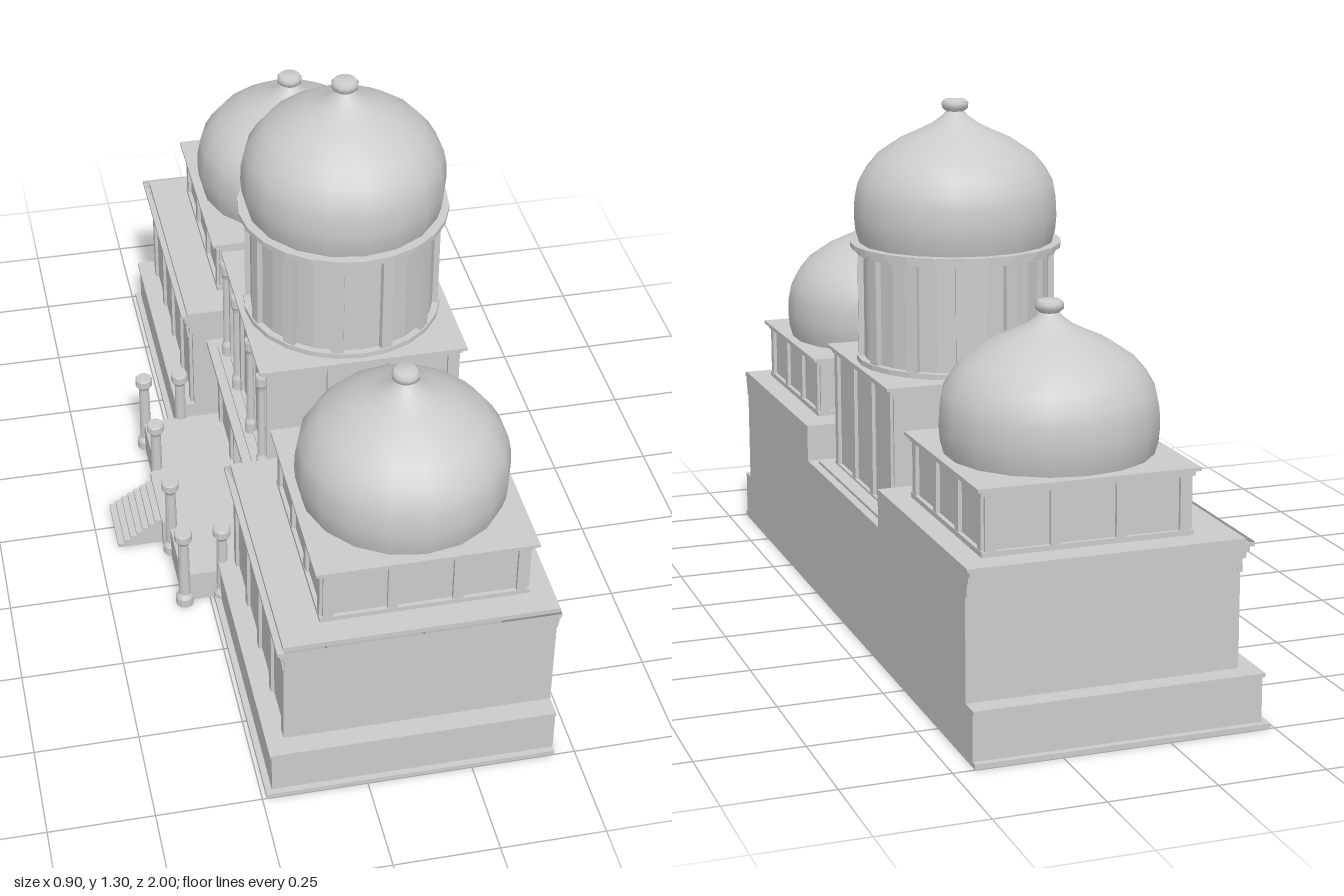
import * as THREE from 'three';

const mat = new THREE.MeshStandardMaterial({ color: 0xcccccc, side: THREE.DoubleSide });
const flat = new THREE.MeshStandardMaterial({ color: 0xcccccc, side: THREE.DoubleSide, flatShading: true });
const CX = 0.15; // axis of the three domes in x
const BACK = 0.45, FRONT = -0.18, END = 0.94, MID = 0.31, RECESS = -0.11;

function add(parent, name, geo, x = 0, y = 0, z = 0, m = flat) {
  const mesh = new THREE.Mesh(geo, m);
  mesh.name = name;
  mesh.position.set(x, y, z);
  parent.add(mesh);
  return mesh;
}

// Box given by its limits
function box(parent, name, x0, x1, y0, y1, z0, z1) {
  return add(parent, name, new THREE.BoxGeometry(x1 - x0, y1 - y0, z1 - z0),
    (x0 + x1) / 2, (y0 + y1) / 2, (z0 + z1) / 2);
}

function group(parent, name) {
  const g = new THREE.Group();
  g.name = name;
  parent.add(g);
  return g;
}

const lathe = (pts, n) => new THREE.LatheGeometry(pts.map(p => new THREE.Vector2(...p)), n);

// Plinth, wall and cornice: outset from the wall, height
const PROFILE = [[0.06, 0], [0.06, 0.012], [0.045, 0.012], [0.045, 0.118], [0.05, 0.118], [0.05, 0.127],
  [0, 0.127], [0, 0.365], [0.008, 0.365], [0.008, 0.385], [0.014, 0.385], [0.014, 0.4],
  [0.02, 0.4], [0.02, 0.415], [0.028, 0.415], [0.028, 0.425]];

// Profile swept around the end and the facade of a wing
function wingShell() {
  const pos = [];
  const ring = ([d, y]) => [[BACK, y, END + d], [FRONT - d, y, END + d], [FRONT - d, y, MID]];
  for (let i = 0; i < PROFILE.length - 1; i++) {
    const a = ring(PROFILE[i]), b = ring(PROFILE[i + 1]);
    for (let j = 0; j < 2; j++)
      pos.push(...a[j + 1], ...a[j], ...b[j], ...a[j + 1], ...b[j], ...b[j + 1]);
  }
  const g = new THREE.BufferGeometry();
  g.setAttribute('position', new THREE.Float32BufferAttribute(pos, 3));
  g.computeVertexNormals();
  return g;
}

// Flat wall with the outline of the profile along one edge
function profileWall(edge, far) {
  const s = new THREE.Shape();
  s.moveTo(far, 0);
  const dir = Math.sign(edge - far);
  PROFILE.forEach(([d, y]) => s.lineTo(edge + dir * d, y));
  s.lineTo(far, 0.425);
  return new THREE.ShapeGeometry(s);
}

function dome(parent, y, z) {
  const g = group(parent, 'dome');
  add(g, 'domeShell', lathe([[0.236, 0], [0.246, 0.035], [0.249, 0.07], [0.247, 0.11], [0.24, 0.145], [0.22, 0.18],
    [0.192, 0.213], [0.135, 0.252], [0.09, 0.272], [0.055, 0.289], [0.03, 0.308], [0.022, 0.318]], 18), CX, y, z, mat);
  add(g, 'finial', lathe([[0.022, 0.31], [0.022, 0.318], [0.032, 0.326], [0.033, 0.338], [0.026, 0.346], [0, 0.348]], 12),
    CX, y, z, mat);
}

// Square storey with pilasters on its four sides and a stepped cornice
function storey(parent, name, y0, y1, z) {
  const g = group(parent, name);
  const h = y1 - y0, r = 0.236;
  const slab = (n, s, a, b) => box(g, n, CX - s, CX + s, a, b, z - s, z + s);
  slab('storeyWalls', r, y0, y1 - 0.01);
  slab('storeyBase', r + 0.01, y0, y0 + 0.012);
  slab('lowerCornice', r + 0.012, y1 - 0.02, y1 - 0.008);
  slab('upperCornice', r + 0.022, y1 - 0.008, y1);
  for (let k = 0; k < 4; k++) {
    const side = group(g, 'pilasters');
    side.position.set(CX, 0, z);
    side.rotation.y = k * Math.PI / 2;
    for (const t of [-0.226, -0.076, 0.076, 0.226])
      add(side, 'pilaster', new THREE.BoxGeometry(0.024, h - 0.02, 0.012), t, y0 + h / 2 - 0.005, r + 0.003);
  }
}

function column(parent, x, y, z, h, r) {
  add(parent, 'column', lathe([[0, 0], [r * 1.5, 0], [r * 1.5, h * 0.1], [r * 1.2, h * 0.13], [r, h * 0.15],
    [r * 0.9, h * 0.84], [r * 1.1, h * 0.87], [r * 1.5, h * 0.9], [r * 1.5, h * 0.98], [r * 1.3, h], [0, h]], 12), x, y, z);
}

function wing(parent, sign) {
  const g = group(parent, sign > 0 ? 'leftWing' : 'rightWing');
  g.scale.z = sign;
  add(g, 'wingWalls', wingShell());
  add(g, 'innerWall', profileWall(FRONT, BACK), 0, 0, MID);
  const back = add(g, 'backWall', profileWall(-END, -MID), BACK, 0, 0);
  back.rotation.y = Math.PI / 2;
  box(g, 'roof', FRONT - 0.012, BACK, 0.418, 0.43, MID, END + 0.015);
  // Facade pilasters
  for (let i = 0; i < 5; i++) {
    const z = 0.335 + i * 0.1475;
    box(g, 'facadePilaster', FRONT - 0.008, FRONT, 0.127, 0.365, z - 0.013, z + 0.013);
    box(g, 'pilasterCap', FRONT - 0.012, FRONT, 0.35, 0.365, z - 0.017, z + 0.017);
  }
  storey(g, 'sideStorey', 0.43, 0.585, 0.645);
  dome(g, 0.58, 0.645);
  box(g, 'connector', 0.075, 0.23, 0.34, 0.57, 0.23, 0.42);
}

function archShape(w, y0, spring, top) {
  const s = new THREE.Path();
  s.moveTo(-w, y0);
  s.lineTo(w, y0);
  s.lineTo(w, spring);
  s.quadraticCurveTo(w, top - 0.02, 0, top);
  s.quadraticCurveTo(-w, top - 0.02, -w, spring);
  s.lineTo(-w, y0);
  return s;
}

function centre(parent) {
  const g = group(parent, 'centralBlock');
  // Recessed facade with an arched doorway
  const wall = new THREE.Shape([[-MID, 0], [MID, 0], [MID, 0.33], [-MID, 0.33]].map(p => new THREE.Vector2(...p)));
  wall.holes.push(archShape(0.055, 0.085, 0.18, 0.255));
  const w = add(g, 'facadeWall', new THREE.ExtrudeGeometry(wall, { depth: 0.015, bevelEnabled: false }), RECESS + 0.015);
  w.rotation.y = -Math.PI / 2;
  box(g, 'door', RECESS + 0.012, RECESS + 0.016, 0.085, 0.26, -0.06, 0.06);
  const frame = new THREE.Shape(archShape(0.067, 0.085, 0.18, 0.272).getPoints(8));
  frame.holes.push(archShape(0.055, 0.085, 0.18, 0.255));
  const f = add(g, 'doorFrame', new THREE.ExtrudeGeometry(frame, { depth: 0.008, bevelEnabled: false }), RECESS);
  f.rotation.y = -Math.PI / 2;
  for (const z of [-0.28, -0.12, 0.12, 0.28])
    box(g, 'facadePilaster', RECESS - 0.008, RECESS, 0.085, 0.31, z - 0.013, z + 0.013);
  box(g, 'backWall', BACK - 0.004, BACK, 0, 0.33, -MID, MID);
  box(g, 'lowerCornice', RECESS - 0.02, BACK, 0.31, 0.325, -MID, MID);
  box(g, 'lowerRoof', RECESS - 0.033, BACK, 0.325, 0.338, -MID, MID);
  box(g, 'roofStep', RECESS - 0.01, BACK - 0.02, 0.338, 0.345, -0.275, 0.275);
  storey(g, 'centralStorey', 0.338, 0.655, 0);
  for (const z of [-0.235, -0.09, 0.09, 0.235]) column(g, -0.1, 0.345, z, 0.29, 0.01);

  // Round drum with pilasters and ring cornices
  const d = group(g, 'drum');
  add(d, 'drumWall', new THREE.CylinderGeometry(0.228, 0.228, 0.3, 24), CX, 0.8, 0);
  const ring = (r, y0, y1) => add(d, 'drumRing', new THREE.CylinderGeometry(r, r, y1 - y0, 24), CX, (y0 + y1) / 2, 0);
  ring(0.245, 0.655, 0.668);
  ring(0.245, 0.925, 0.938);
  ring(0.258, 0.938, 0.95);
  for (let i = 0; i < 12; i++) {
    const a = (i + 0.5) * Math.PI / 6;
    const p = add(d, 'drumPilaster', new THREE.BoxGeometry(0.03, 0.26, 0.02),
      CX + Math.sin(a) * 0.23, 0.797, Math.cos(a) * 0.23);
    p.rotation.y = a;
  }
  dome(g, 0.948, 0);
}

function porch(parent) {
  const g = group(parent, 'porch');
  // Platform plan drawn as (x, z) with a stepped projection
  const half = [[RECESS, 0.31], [-0.32, 0.31], [-0.32, 0.11], [-0.335, 0.1], [-0.335, 0.085]];
  const plan = [...half, ...half.map(([x, z]) => [x, -z]).reverse()].map(([x, z]) => new THREE.Vector2(x, z));
  const floor = add(g, 'platform', new THREE.ExtrudeGeometry(new THREE.Shape(plan), { depth: 0.085, bevelEnabled: false }), 0, 0.085, 0);
  floor.rotation.x = Math.PI / 2;
  // Stairs
  const n = 8;
  const s = new THREE.Shape();
  s.moveTo(-0.45, 0);
  for (let i = 0; i < n; i++) {
    const x = -0.45 + 0.13 * i / n, y = 0.085 * (i + 1) / n;
    s.lineTo(x, y);
    s.lineTo(x + 0.13 / n, y);
  }
  s.lineTo(-0.32, 0);
  add(g, 'stairs', new THREE.ExtrudeGeometry(s, { depth: 0.16, bevelEnabled: false }), 0, 0, -0.08);
  for (const z of [-1, 1]) {
    column(g, -0.315, 0, z * 0.315, 0.235, 0.015);
    column(g, -0.315, 0, z * 0.118, 0.235, 0.015);
    column(g, -0.218, 0, z * 0.315, 0.235, 0.015);
  }
}

export function createModel() {
  const model = new THREE.Group();
  model.name = 'domedHall';
  wing(model, 1);
  wing(model, -1);
  centre(model);
  porch(model);
  return model;
}
